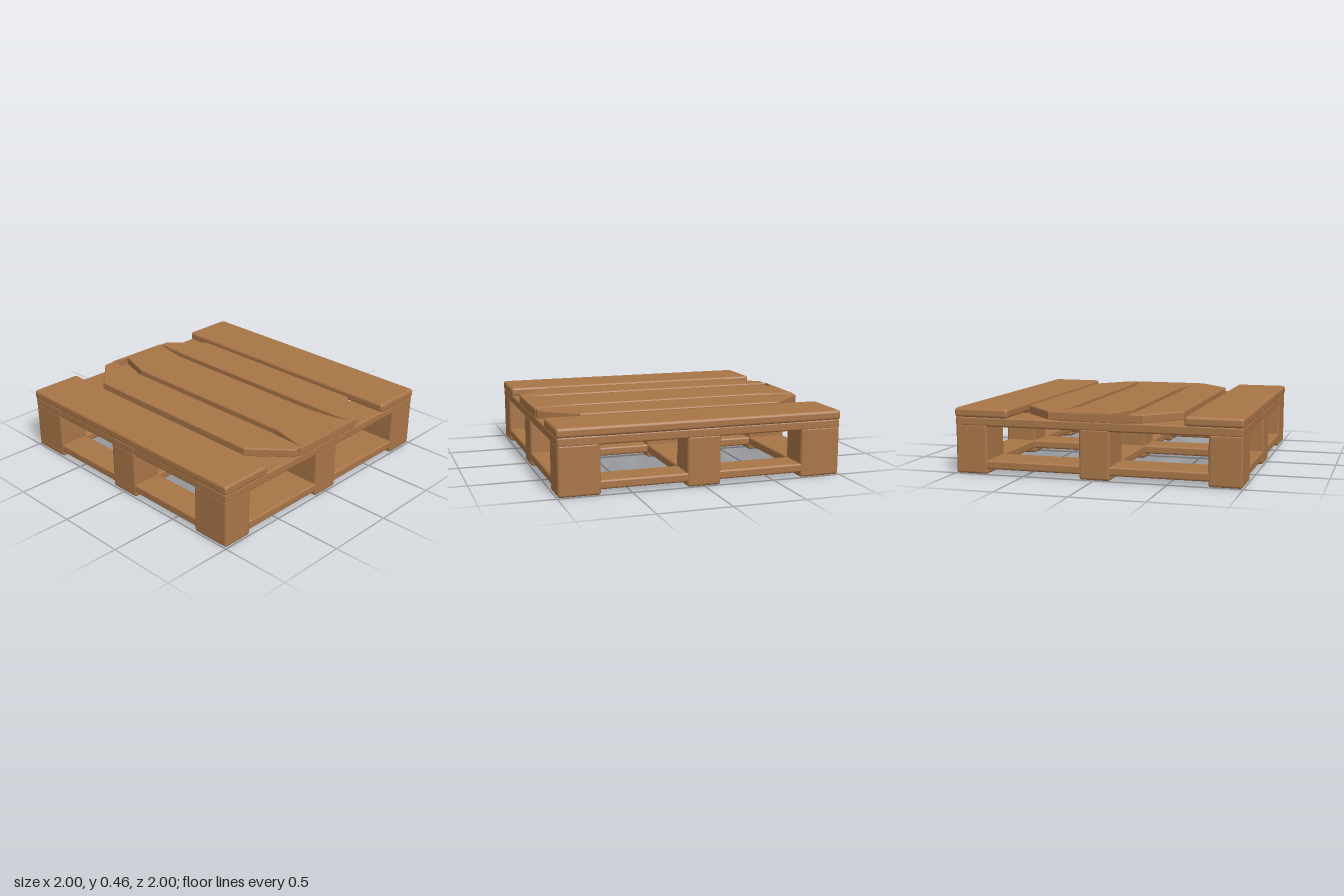
import * as THREE from 'three';
import { RoundedBoxGeometry } from 'three/addons/geometries/RoundedBoxGeometry.js';

const wood = new THREE.MeshStandardMaterial({ color: 0xa97548 });
wood.name = 'wood';

// Softly rounded beam given by its lower and upper limits on each axis
function beam(name, [x0, x1], [y0, y1], [z0, z1], radius = 0.014) {
  const geometry = new RoundedBoxGeometry(x1 - x0, y1 - y0, z1 - z0, 2, radius);
  const mesh = new THREE.Mesh(geometry, wood);
  mesh.name = name;
  mesh.position.set((x0 + x1) / 2, (y0 + y1) / 2, (z0 + z1) / 2);
  return mesh;
}

// Bevelled deck plank from an outline of [x, z] points
function plank(name, outline, y0, y1, bevel = 0.01) {
  const shape = new THREE.Shape(outline.map(([x, z]) => new THREE.Vector2(x, -z)));
  const geometry = new THREE.ExtrudeGeometry(shape, {
    depth: y1 - y0 - 2 * bevel, bevelEnabled: bevel > 0, bevelSize: bevel,
    bevelThickness: bevel, bevelOffset: -bevel, bevelSegments: 2,
  });
  geometry.rotateX(-Math.PI / 2);
  const mesh = new THREE.Mesh(geometry, wood);
  mesh.name = name;
  mesh.position.y = y0 + bevel;
  return mesh;
}

export function createModel() {
  const pallet = new THREE.Group();
  pallet.name = 'pallet';

  const columns = [[-0.995, -0.77], [-0.11, 0.105], [0.765, 0.995]];
  const rows = [[-0.995, -0.705], [-0.118, 0.118], [0.708, 0.995]];
  const inset = ([a, b]) => [a + 0.004, b - 0.004];

  // Nine blocks, whose lower ends form the feet
  for (const x of columns) {
    for (const z of rows) pallet.add(beam('block', x, [0, 0.345], z, 0.018));
  }

  // Bottom and top frames running both ways
  for (const z of rows) {
    pallet.add(beam('bottomCrossBoard', [-0.985, 0.985], [0.035, 0.097], inset(z)));
    pallet.add(beam('topCrossBoard', [-0.995, 0.995], [0.33, 0.396], z));
  }
  for (const x of columns) {
    pallet.add(beam('bottomLongBoard', inset(x), [0.035, 0.097], [-0.985, 0.985]));
    pallet.add(beam('topLongBoard', inset(x), [0.33, 0.396], [-0.985, 0.985]));
  }

  // Outer deck planks
  for (const s of [-1, 1]) {
    const x = s < 0 ? [-1, -0.61] : [0.61, 1];
    pallet.add(beam('outerDeckPlank', x, [0.388, 0.455], [-1, 1], 0.02));
  }

  // Inner deck planks with clipped outer corners
  pallet.add(plank('leftInnerDeckPlank', [
    [0.25, 0.72], [0.262, 0.985], [0.33, 0.985], [0.55, 0.73],
    [0.55, -0.74], [0.32, -0.985], [0.262, -0.985], [0.25, -0.72],
  ], 0.39, 0.455));
  pallet.add(plank('rightInnerDeckPlank', [
    [-0.255, 0.72], [-0.265, 0.985], [-0.33, 0.985], [-0.555, 0.73],
    [-0.555, -0.74], [-0.33, -0.99], [-0.24, -0.99], [-0.255, -0.72],
  ], 0.39, 0.455));

  // Middle plank, warped wider at its ends
  pallet.add(plank('middleDeckPlank', [
    [-0.2, 0.7], [-0.26, 0.95], [-0.3, 0.995], [0.3, 0.995], [0.255, 0.97], [0.195, 0.72],
    [0.195, -0.7], [0.25, -0.97], [0.26, -0.995], [-0.25, -0.995], [-0.115, -0.975], [-0.2, -0.71],
  ], 0.39, 0.455));

  // Split sliver along the middle plank's edge
  pallet.add(plank('splinter', [[0.18, 0.38], [0.197, 0.38], [0.255, 0.75], [0.255, 0.97], [0.18, 0.97]],
    0.392, 0.425, 0));

  return pallet;
}
